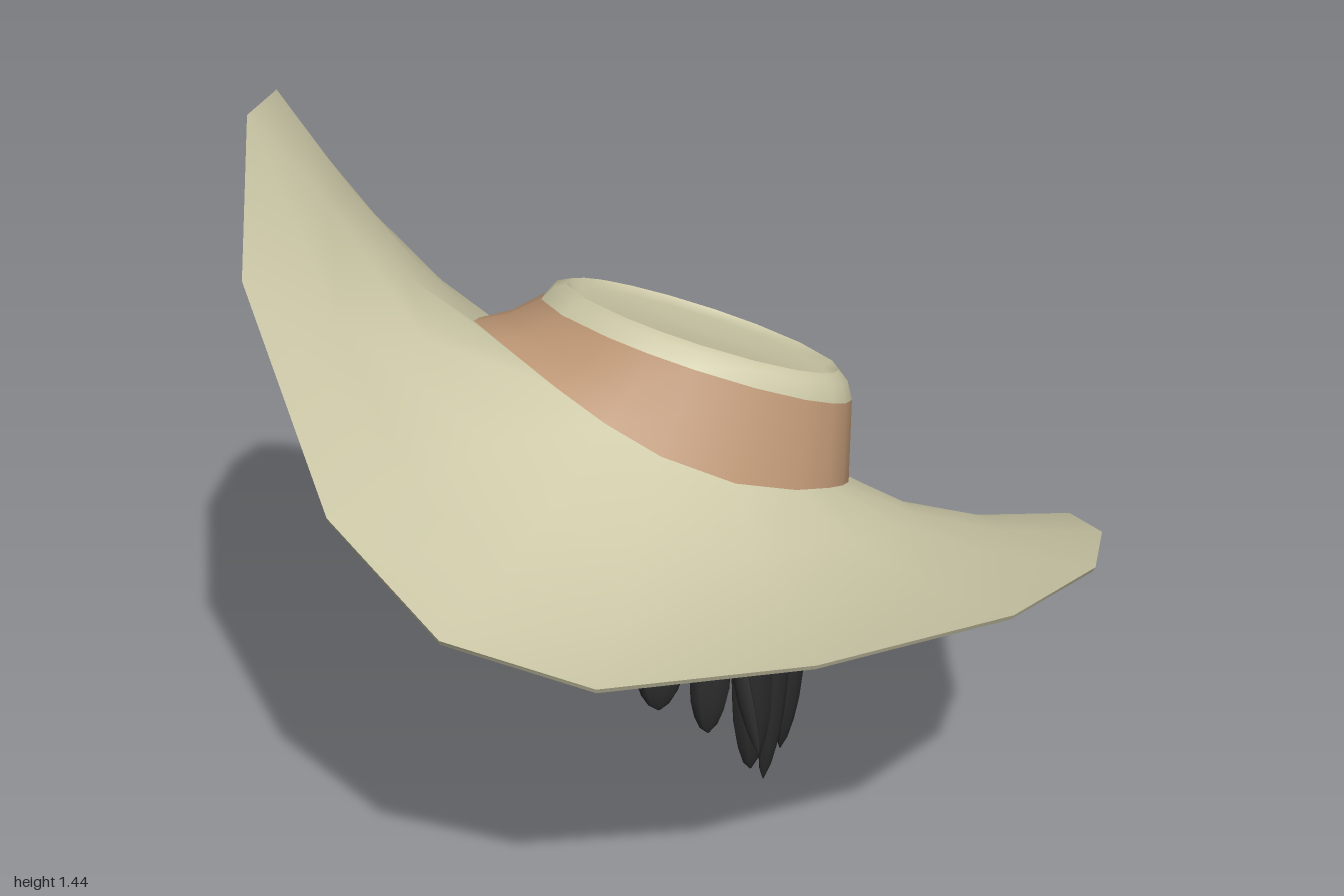
import * as THREE from 'three';
import { mergeGeometries } from 'three/addons/utils/BufferGeometryUtils.js';

const V = (x, y, z) => new THREE.Vector3(x, y, z);
const lerp = THREE.MathUtils.lerp;

// Skin closed rings of points; rings listed bottom to top face outwards.
function loft(rows) {
  const n = rows[0].length, pos = [], idx = [];
  rows.forEach(r => r.forEach(p => pos.push(p.x, p.y, p.z)));
  for (let j = 0; j < rows.length - 1; j++) {
    for (let i = 0; i < n; i++) {
      const a = j * n + i, b = j * n + (i + 1) % n;
      idx.push(a, b, b + n, a, b + n, a + n);
    }
  }
  const g = new THREE.BufferGeometry();
  g.setAttribute('position', new THREE.Float32BufferAttribute(pos, 3));
  g.setIndex(idx);
  g.computeVertexNormals();
  return g;
}

// Tilted ellipse; lean raises its +x side, dip lowers its front towards +x.
function ring(angles, cx, cy, cz, rx, rz, slope, lean = 0, dip = 0) {
  return angles.map(t => {
    const z = rz * Math.cos(t);
    const sag = dip * Math.pow(Math.max(0, Math.cos(t - 0.9)), 3);
    return V(cx + rx * Math.sin(t), cy + slope * z + lean * Math.sin(t) - sag, cz + z);
  });
}

const between = (a, b, t, sag) => a.map((p, i) => {
  const q = p.clone().lerp(b[i], t);
  q.y -= sag;
  return q;
});

// Piecewise-linear value over [position, value] pairs.
function along(keys, t) {
  let k = 0;
  while (k < keys.length - 2 && t > keys[k + 1][0]) k++;
  const [[t0, v0], [t1, v1]] = [keys[k], keys[k + 1]];
  return lerp(v0, v1, (t - t0) / (t1 - t0));
}

// Wavy brim edge, from the front round through +x.
const RIM = [
  [0.17, 0.95, 0.83], [0.43, 0.80, 0.78], [0.65, 0.74, 0.61], [0.88, 0.78, 0.31],
  [1.0, 0.80, -0.05], [0.93, 0.76, -0.35], [0.81, 0.73, -0.51], [0.62, 0.65, -0.64],
  [0.36, 0.48, -0.81], [-0.02, 0.28, -0.84], [-0.3, 0.18, -0.73], [-0.51, 0.19, -0.63],
  [-0.74, 0.28, -0.47], [-0.91, 0.43, -0.26], [-1.0, 0.74, -0.07], [-0.97, 1.01, 0.04],
  [-0.86, 1.25, 0.19], [-0.68, 1.42, 0.36], [-0.48, 1.46, 0.55], [-0.2, 1.26, 0.75],
].map(p => V(...p));

// Hair on the head: lower edge and lock tips by degrees from the front.
const EDGE = [
  [-180, 0.21], [-90, 0.34], [-70, 0.45], [-45, 0.6], [-20, 0.67],
  [5, 0.6], [45, 0.55], [70, 0.43], [90, 0.38], [180, 0.21],
];
const TIPS = [
  [-180, 0], [-110, 0.05], [-80, 0.2], [-60, 0.36], [-40, 0.41], [-20, 0.63], [0, 0.53],
  [25, 0.49], [45, 0.47], [60, 0.38], [82, 0.27], [98, 0.09], [180, 0],
];

function hairPoint(t, y) {
  const c = Math.cos(t), drop = Math.max(0, 0.62 + 0.23 * c - y);
  const tuck = 1 - 0.15 * drop;
  return V(-0.05 + 0.41 * tuck * Math.sin(t), y, 0.46 * c + 0.33 * drop * Math.max(0, -c));
}

// Flattened blunt strand from start to end, its root sunk into the shell.
function lock(start, end, t, width) {
  const T = V(Math.cos(t), 0, -Math.sin(t)), N = V(Math.sin(t), 0, Math.cos(t));
  const taper = [0.05, 0.45, 0.75, 0.95, 1, 1, 0.8];
  const rows = taper.map((r, j) => {
    const s = j / (taper.length - 1);
    const c = end.clone().lerp(start, s ** 1.4).addScaledVector(N, -0.03 * s * s);
    return Array.from({ length: 8 }, (_, i) => {
      const a = i * Math.PI / 4;
      return c.clone().addScaledVector(T, Math.sin(a) * width * r)
        .addScaledVector(N, Math.cos(a) * width * 0.45 * r);
    });
  });
  return loft(rows);
}

export function createModel() {
  const group = new THREE.Group();
  const material = (color, side = THREE.FrontSide) =>
    new THREE.MeshStandardMaterial({ color, side });
  const cream = material(0xcdc9a8), tan = material(0xbd9674), brown = material(0x8d7357);
  const black = material(0x2b2b2b), blackThin = material(0x2b2b2b, THREE.DoubleSide);
  const add = (name, geometry, mat) => {
    const mesh = new THREE.Mesh(geometry, mat);
    mesh.name = name;
    group.add(mesh);
  };

  // Brim: top, edge and underside
  const angles = RIM.map(p => Math.atan2(p.x + 0.05, p.z + 0.08));
  const base = ring(angles, -0.05, 0.815, -0.125, 0.42, 0.36, 0.6, 0, 0.09);
  const head = ring(angles, -0.05, 0.66, -0.03, 0.4, 0.45, 0.52, 0.04, 0.13);
  const under = RIM.map(p => V(p.x * 0.995, p.y - 0.01, p.z * 0.995));
  const centre = (x, y, z) => angles.map(() => V(x, y, z));
  add('brimTop', loft([
    RIM, between(RIM, base, 0.35, 0.035), between(RIM, base, 0.7, 0.035), base,
  ]), cream);
  add('brimEdge', loft([under, RIM]), cream);
  add('brimUnderside', loft([
    centre(-0.05, 0.66, -0.03), head, between(head, under, 0.35, 0.035),
    between(head, under, 0.7, 0.035), under,
  ]), brown);

  // Crown: band, rounded shoulder and sunken top
  const bandTop = ring(angles, -0.01, 0.93, -0.185, 0.335, 0.305, 0.44);
  add('hatBand', loft([base, between(base, bandTop, 0.5, 0.01), bandTop]), tan);
  add('crownShoulder', loft([
    bandTop,
    ring(angles, -0.01, 0.962, -0.195, 0.32, 0.285, 0.43),
    ring(angles, -0.01, 0.975, -0.2, 0.295, 0.265, 0.42),
  ]), cream);
  add('crownTop', loft([
    ring(angles, -0.01, 0.975, -0.2, 0.295, 0.265, 0.42),
    ring(angles, -0.01, 0.955, -0.2, 0.275, 0.245, 0.42),
    centre(-0.01, 0.95, -0.2),
  ]), cream);

  // Hair: shell around the head, open at the face
  const turns = Array.from({ length: 44 }, (_, i) => i * Math.PI / 22);
  const degrees = t => Math.atan2(Math.sin(t), Math.cos(t)) * 180 / Math.PI;
  const edge = turns.map(t => hairPoint(t, along(EDGE, degrees(t))));
  const rim = ring(turns, -0.05, 0.62, 0, 0.41, 0.46, 0.5, 0.02, 0.07);
  const upper = ring(turns, -0.05, 0.71, -0.04, 0.385, 0.435, 0.52, 0.04, 0.1);
  const middle = between(edge, rim, 0.5, 0).map((p, i) =>
    p.add(V(Math.sin(turns[i]) * 0.015, 0, Math.cos(turns[i]) * 0.015)));
  add('hairShell', loft([edge, middle, rim]), blackThin);
  add('hairTop', loft([rim, upper]), black);

  // Hanging locks of uneven length and width
  const locks = [], count = 24;
  for (let i = 0; i < count; i++) {
    const t = (i + 0.5) / count * Math.PI * 2, d = degrees(t);
    const wobble = 0.5 + 0.5 * Math.sin(i * 2.4);
    const top = along(EDGE, d) + 0.1, tip = along(TIPS, d) + 0.04 * wobble;
    locks.push(lock(hairPoint(t, top), hairPoint(t + 0.08 * (wobble - 0.5), tip), t,
      0.046 + 0.012 * wobble));
  }
  add('hairLocks', mergeGeometries(locks), black);

  // Loose wisps at the temples
  add('hairWisps', mergeGeometries([
    lock(V(-0.43, 0.54, 0.1), V(-0.57, 0.34, 0.1), 0, 0.028),
    lock(V(-0.42, 0.5, 0), V(-0.5, 0.34, 0.02), 0, 0.025),
    lock(V(0.34, 0.5, 0.05), V(0.46, 0.28, 0.05), 0, 0.025),
  ]), black);

  return group;
}
